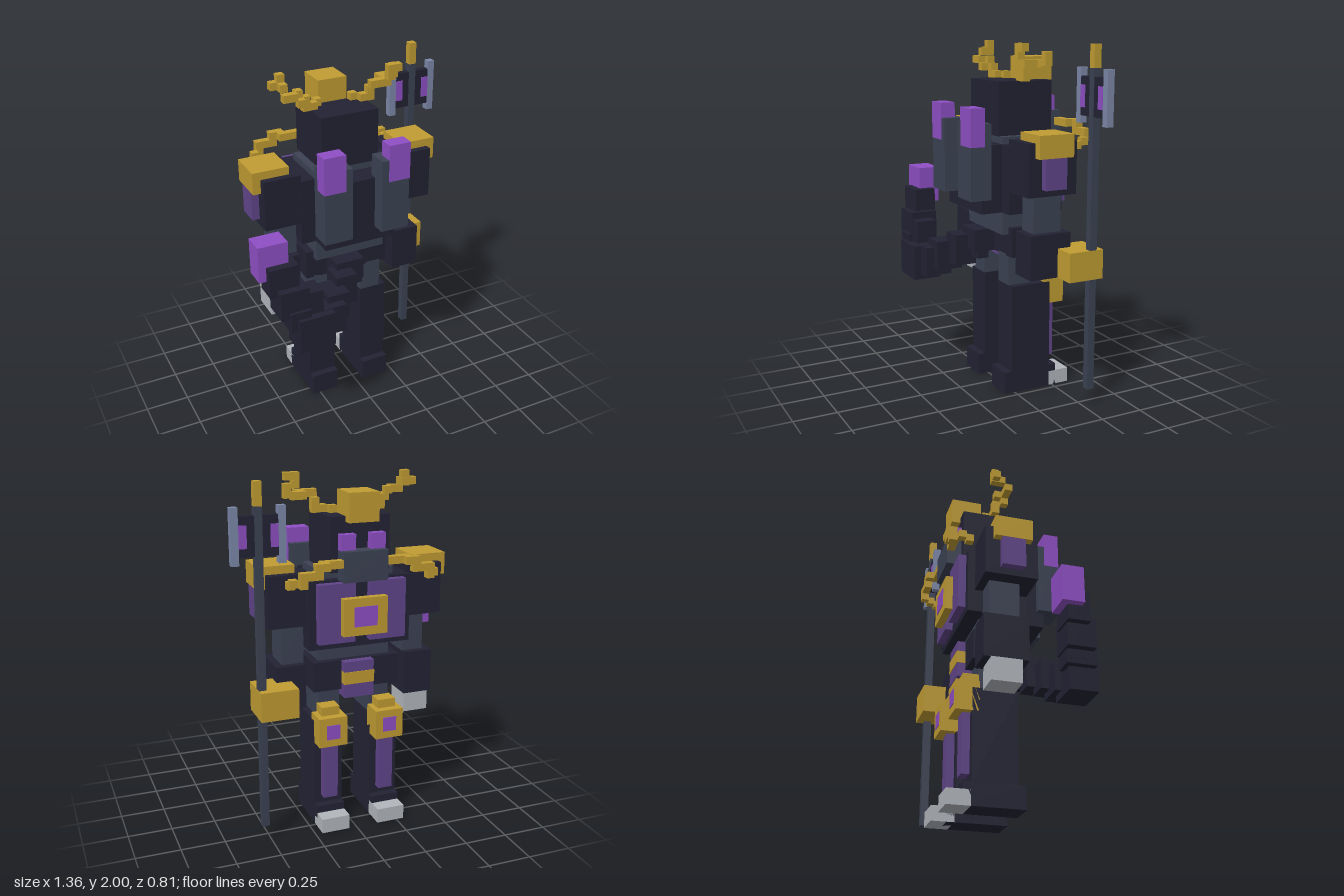
import * as THREE from 'three';

const mat = (name, color) => {
  const m = new THREE.MeshStandardMaterial({ color });
  m.name = name;
  return m;
};

export function createModel() {
  const root = new THREE.Group();
  root.name = 'armouredWarrior';
  const navy = mat('navy', 0x222234), slate = mat('slate', 0x3c4254), gold = mat('gold', 0xc09c32);
  const purple = mat('brightPurple', 0x8e4fc4), plum = mat('plum', 0x604589);
  const steel = mat('steel', 0x7c88a8), grey = mat('lightGrey', 0xb2b6bc);
  const CX = -0.0425; // mirror line of the body

  // Box from its extents: x0,x1, y0,y1, z0,z1
  const box = (name, m, x0, x1, y0, y1, z0, z1) => {
    const mesh = new THREE.Mesh(new THREE.BoxGeometry(x1 - x0, y1 - y0, z1 - z0), m);
    mesh.position.set((x0 + x1) / 2, (y0 + y1) / 2, (z0 + z1) / 2);
    mesh.name = name;
    root.add(mesh);
  };
  // The same box on both sides of the body
  const pair = (name, m, x0, x1, ...r) => {
    box(name + 'Left', m, x0, x1, ...r);
    box(name + 'Right', m, 2 * CX - x1, 2 * CX - x0, ...r);
  };
  // Chain of small cubes
  const chain = (name, cells, flip = false) => cells.forEach(([x, y, z], i) => {
    const c = flip ? 2 * CX - x : x, h = 0.0213;
    box(name + i, gold, c - h, c + h, y - h, y + h, z - h, z + h);
  });

  // Legs and feet
  pair('leg', navy, 0.045, 0.21, 0.12, 0.64, -0.23, 0.02);
  pair('foot', navy, 0.045, 0.21, 0, 0.128, -0.275, 0.063);
  pair('toe', grey, 0.045, 0.21, 0, 0.085, -0.36, -0.23);
  pair('shinPlate', plum, 0.085, 0.17, 0.175, 0.52, -0.275, -0.23);
  pair('thigh', slate, 0.045, 0.17, 0.64, 0.82, -0.19, 0.02);
  pair('kneeGuard', gold, 0.045, 0.21, 0.51, 0.68, -0.32, -0.19);
  pair('kneeBracket', gold, 0.075, 0.18, 0.68, 0.73, -0.275, -0.188);
  pair('kneeGem', purple, 0.087, 0.168, 0.553, 0.637, -0.324, -0.319);

  // Hips, belly and torso
  box('hips', navy, -0.3, 0.21, 0.81, 0.98, -0.23, 0.02);
  box('loinGuard', plum, -0.13, 0.045, 0.77, 0.98, -0.275, -0.02);
  box('loinBand', gold, -0.132, 0.047, 0.85, 0.92, -0.279, -0.228);
  box('belly', slate, -0.255, 0.17, 0.94, 1.072, -0.19, 0.06);
  box('chest', navy, -0.34, 0.252, 1.07, 1.452, -0.276, 0.063);
  box('upperBack', navy, -0.255, 0.17, 1.07, 1.45, 0.06, 0.19);
  pair('chestPanel', plum, 0, 0.21, 1.11, 1.44, -0.32, -0.275);
  box('medallion', gold, -0.17, 0.085, 1.155, 1.362, -0.362, -0.318);
  box('medallionGem', purple, -0.11, 0.025, 1.205, 1.315, -0.366, -0.361);

  // Back pods with glowing tips
  pair('backPod', slate, 0.045, 0.21, 1.155, 1.575, 0.148, 0.272);
  pair('backPodTip', purple, 0.085, 0.212, 1.45, 1.66, 0.188, 0.274);

  // Shoulders and arms
  pair('shoulder', navy, 0.25, 0.465, 1.2, 1.49, -0.235, 0.061);
  pair('pauldron', gold, 0.3, 0.51, 1.41, 1.535, -0.19, 0.02);
  pair('shoulderPlate', plum, 0.46, 0.508, 1.24, 1.41, -0.15, -0.02);
  pair('upperArm', slate, 0.255, 0.382, 0.98, 1.2, -0.19, -0.02);
  pair('forearm', navy, 0.255, 0.424, 0.73, 0.98, -0.23, 0.02);
  box('goldFist', gold, 0.34, 0.552, 0.73, 0.895, -0.362, -0.15);
  box('greyHand', grey, -0.51, -0.36, 0.6, 0.732, -0.19, -0.02);

  // Head
  box('neck', slate, -0.255, 0.17, 1.45, 1.491, -0.23, 0.06);
  box('head', navy, -0.212, 0.127, 1.49, 1.79, -0.275, 0.063);
  box('jaw', slate, -0.17, 0.085, 1.45, 1.615, -0.36, -0.27);
  pair('eye', purple, 0, 0.085, 1.613, 1.7, -0.32, -0.27);
  box('crown', gold, -0.13, 0.042, 1.76, 1.918, -0.325, -0.15);

  // Antlers
  chain('antlerRight', [[-0.15, 1.81, -0.13], [-0.19, 1.81, -0.09], [-0.233, 1.81, -0.09],
    [-0.233, 1.85, -0.09], [-0.276, 1.85, -0.05], [-0.276, 1.89, -0.09], [-0.318, 1.89, -0.05],
    [-0.36, 1.89, -0.05], [-0.36, 1.935, -0.09], [-0.36, 1.935, -0.13], [-0.4, 1.94, -0.13], [-0.36, 1.978, -0.13]]);
  chain('antlerLeft', [[0.065, 1.81, -0.13], [0.107, 1.81, -0.09], [0.15, 1.81, -0.09],
    [0.15, 1.85, -0.09], [0.15, 1.89, -0.05], [0.192, 1.89, -0.05], [0.234, 1.89, -0.05],
    [0.234, 1.935, -0.01], [0.234, 1.978, -0.01], [0.276, 1.978, -0.01], [0.234, 1.89, -0.09],
    [0.234, 1.89, -0.13], [0.276, 1.89, -0.13], [0.318, 1.9, -0.13], [0.318, 1.935, -0.13]]);

  // Tusks sweeping out from the jaw
  const tusk = [[0.107, 1.553, -0.34], [0.15, 1.553, -0.34], [0.192, 1.553, -0.34],
    [0.192, 1.553, -0.383], [0.234, 1.511, -0.383], [0.234, 1.553, -0.383], [0.276, 1.511, -0.383],
    [0.318, 1.511, -0.383], [0.318, 1.469, -0.383], [0.36, 1.469, -0.34], [0.36, 1.45, -0.298]];
  chain('tuskLeft', tusk);
  chain('tuskRight', tusk, true);

  // Curling tail
  [[-0.17, 0, 0.81, 0.94, 0, 0.15], [-0.13, 0, 0.77, 0.9, 0.06, 0.13], [-0.21, -0.085, 0.72, 0.9, 0.1, 0.232],
    [-0.3, -0.17, 0.68, 0.85, 0.15, 0.31], [-0.385, -0.212, 0.64, 0.81, 0.2, 0.36],
    [-0.51, -0.3, 0.6, 0.805, 0.235, 0.402], [-0.55, -0.43, 0.73, 0.85, 0.21, 0.38],
    [-0.552, -0.35, 0.76, 0.94, 0.235, 0.358], [-0.597, -0.43, 0.81, 0.98, 0.2, 0.362],
    [-0.638, -0.47, 0.94, 1.11, 0.19, 0.318]].forEach((e, i) => box('tailSegment' + i, navy, ...e));
  box('tailTip', purple, -0.68, -0.51, 1.025, 1.235, 0.147, 0.272);

  // Double-bladed staff
  const SX = 0.53;
  box('staffShaft', slate, SX - 0.021, SX + 0.021, 0.09, 1.875, -0.32, -0.277);
  box('staffFinial', gold, SX - 0.021, SX + 0.021, 1.875, 2, -0.32, -0.277);
  for (const s of [-1, 1]) {
    const bx = (name, m, a, b, ...r) => box(name, m, Math.min(SX + s * a, SX + s * b), Math.max(SX + s * a, SX + s * b), ...r);
    bx('axeBody', navy, 0.02, 0.106, 1.62, 1.83, -0.318, -0.279);
    bx('axeBlade', steel, 0.105, 0.146, 1.578, 1.875, -0.319, -0.278);
    bx('axeGem', purple, 0.063, 0.105, 1.665, 1.785, -0.322, -0.275);
  }
  return root;
}
